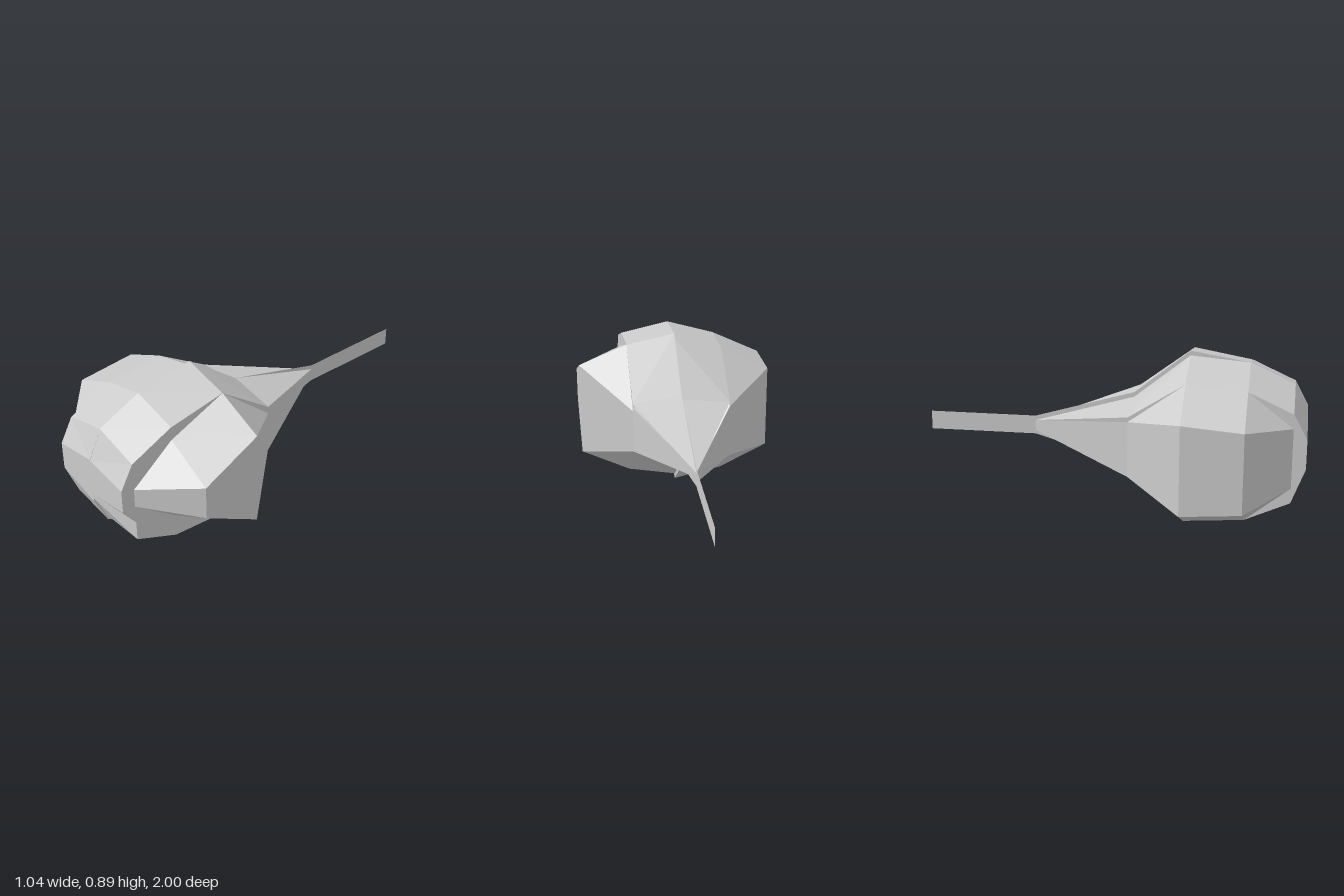
import * as THREE from 'three';

// z stations: tip, shoulder, widest ring, front rings, nose
const Z = [-0.43, 0.1, 0.39, 0.7, 0.93, 1];

const material = new THREE.MeshStandardMaterial({
  color: 0xcccccc, flatShading: true, side: THREE.DoubleSide,
});

// One long edge of a panel: heights at successive stations, all at one x or at listed x values
const column = (x, heights, first = 0) =>
  heights.map((y, i) => [Array.isArray(x) ? x[i] : x, y, Z[first + i]]);

// Panel stretched between two long edges
function strip(name, a, b) {
  const pos = [];
  for (let i = 0; i < a.length - 1; i++) {
    pos.push(...a[i], ...b[i], ...a[i + 1], ...b[i], ...b[i + 1], ...a[i + 1]);
  }
  const geo = new THREE.BufferGeometry();
  geo.setAttribute('position', new THREE.Float32BufferAttribute(pos, 3));
  geo.computeVertexNormals();
  const mesh = new THREE.Mesh(geo, material);
  mesh.name = name;
  return mesh;
}

export function createModel() {
  const model = new THREE.Group();
  model.name = 'bulb';
  const add = (name, a, b) => model.add(strip(name, a, b));
  const inner = 0.26, outer = 0.52;
  const centreX = (s) => [0, s * inner, s * inner, s * inner, s * inner, s * inner];
  const sideX = (s) => [0, s * inner, s * outer, s * outer, s * inner];

  // Left half (+x)
  {
    const top = column(centreX(1), [0.475, 0.62, 0.84, 0.785, 0.68, 0.55]);
    const crown = column(0, [0.5, 0.655, 0.89, 0.84, 0.735, 0.575]);
    const sideTop = column(sideX(1), [0.475, 0.58, 0.735, 0.58, 0.525]);
    const sideLow = column(sideX(1), [0.45, 0.34, 0.21, 0.395, 0.42]);
    const low = column(centreX(1), [0.45, 0.34, 0.08, 0.105, 0.21]);
    const keel = column(0, [0.45, 0.265, 0.03, 0.055, 0.185]);
    add('leftTopPetal', crown, top);
    add('leftUpperPetal', column(centreX(1), [0.475, 0.6, 0.84, 0.71, 0.525]), sideTop);
    add('leftSidePetal', sideTop, sideLow);
    add('leftLowerPetal', column(centreX(1), [0.45, 0.34, 0.08, 0.235, 0.42]), sideLow);
    add('leftBottomPetal', [...keel, [0, 0.34, 1]], [...low, [0, 0.34, 1]]);
    // Nose, with a notch beneath it
    add('leftNose',
      [[0, 0.575, 1], [0, 0.365, 1], [0, 0.365, 1], [0, 0.34, 1]],
      [[inner, 0.55, 1], [inner, 0.42, 1], [inner, 0.32, 0.93], [inner, 0.21, 0.93]]);
    // Steps between overlapping petals
    add('leftUpperStep', column(inner, [0.84, 0.785, 0.68, 0.55], 2),
      column(inner, [0.84, 0.71, 0.32, 0.42], 2));
    add('leftLowerStep', column(inner, [0.08, 0.235, 0.42], 2),
      column(inner, [0.08, 0.105, 0.21], 2));
  }

  // Right half (-x)
  {
    const top = column(centreX(-1), [0.475, 0.6, 0.785, 0.76, 0.655, 0.525]);
    const crown = column(0, [0.475, 0.63, 0.865, 0.84, 0.735, 0.58]);
    const sideTop = column(sideX(-1), [0.475, 0.575, 0.655, 0.63, 0.58]);
    const sideLow = column(sideX(-1), [0.42, 0.28, 0.185, 0.21, 0.265]);
    const low = column(centreX(-1), [0.42, 0.28, 0.055, 0.08, 0.185, 0.37]);
    const keel = column(0, [0.4, 0.24, 0, 0.055, 0.16, 0.32]);
    add('rightTopPetal', crown, top);
    add('rightUpperPetal', column(centreX(-1), [0.475, 0.575, 0.785, 0.76, 0.58]), sideTop);
    add('rightSidePetal', sideTop, sideLow);
    add('rightLowerPetal', column(centreX(-1), [0.42, 0.28, 0.055, 0.08, 0.265]), sideLow);
    add('rightBottomPetal', keel, low);
    add('rightNose', [crown[5], keel[5]], [top[5], low[5]]);
    add('rightStep', top.slice(3), low.slice(3));
  }

  // Flat stem, continuing forward as the wall between the two halves
  add('stem',
    [[0, 0.5, -1], ...column(0, [0.5, 0.655, 0.89, 0.84, 0.735, 0.58])],
    [[0, 0.4, -1], ...column(0, [0.4, 0.24, 0, 0.055, 0.16, 0.32])]);

  return model;
}
